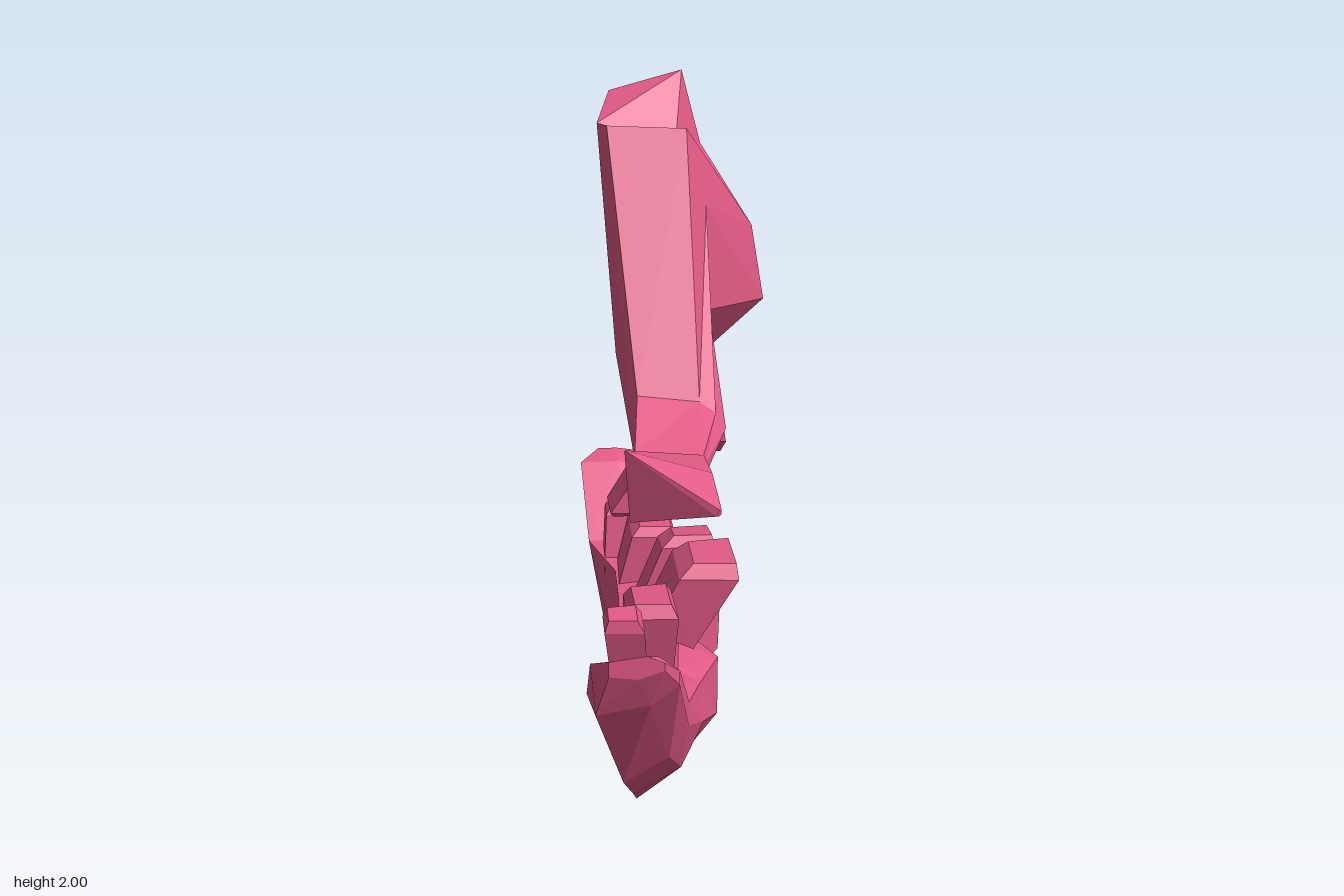
import * as THREE from 'three';

const pink = new THREE.MeshStandardMaterial({ color: 0xe25a85, flatShading: true });

// Skin a list of rings (equal point counts) and close both ends with fans.
function loft(name, rings) {
  const pos = [];
  const n = rings[0].length;
  const tri = (a, b, c) => pos.push(...a, ...b, ...c);
  for (let r = 0; r < rings.length - 1; r++) {
    for (let i = 0; i < n; i++) {
      const j = (i + 1) % n;
      const a = rings[r][i], b = rings[r][j], c = rings[r + 1][j], d = rings[r + 1][i];
      tri(a, b, c);
      tri(a, c, d);
    }
  }
  const first = rings[0], last = rings[rings.length - 1];
  for (let i = 1; i < n - 1; i++) {
    tri(first[0], first[i + 1], first[i]);
    tri(last[0], last[i], last[i + 1]);
  }
  // Turn the faces outward if the signed volume is negative.
  let volume = 0;
  const [A, B, C] = [new THREE.Vector3(), new THREE.Vector3(), new THREE.Vector3()];
  for (let k = 0; k < pos.length; k += 9) {
    volume += A.fromArray(pos, k).dot(B.fromArray(pos, k + 3).cross(C.fromArray(pos, k + 6)));
  }
  if (volume < 0) {
    for (let k = 0; k < pos.length; k += 9) {
      for (let m = 0; m < 3; m++) [pos[k + 3 + m], pos[k + 6 + m]] = [pos[k + 6 + m], pos[k + 3 + m]];
    }
  }
  const geo = new THREE.BufferGeometry();
  geo.setAttribute('position', new THREE.Float32BufferAttribute(pos, 3));
  geo.computeVertexNormals();
  const mesh = new THREE.Mesh(geo, pink);
  mesh.name = name;
  return mesh;
}

// Gum: each section is z, six x values, six y values.
function gum(name, sections) {
  return loft(name, sections.map(([z, xs, ys]) => xs.map((x, i) => [x, ys[i], z])));
}

// Tooth: chamfered block from root to crown; w = widths along z, d = depth along x,
// slope tips the biting edge along z.
function tooth(name, [root, crown, wRoot, wCrown, d, slope]) {
  const a = new THREE.Vector3(...root), b = new THREE.Vector3(...crown);
  const ring = (t, s) => {
    const c = a.clone().lerp(b, t);
    const w = THREE.MathUtils.lerp(wRoot, wCrown, t) * s / 2, h = d * s / 2;
    return [[-h, -w * 0.85], [h, -w], [h, w], [-h, w * 0.85]]
      .map(([x, z]) => [c.x + x, c.y + slope * t * z, c.z + z]);
  };
  return loft(name, [ring(0, 0.9), ring(0.88, 1), ring(1, 0.72)]);
}

// Section points run: inner top, outer top, upper bulge, lower bulge, outer bottom, inner bottom
const upperSections = [
  [0.92, [0.01, 0.015, 0.015, 0.015, 0.01, 0.005], [1.245, 1.245, 1.24, 1.235, 1.23, 1.23]],
  [0.80, [-0.18, 0.01, 0.015, 0.01, 0, -0.17], [1.34, 1.28, 1.24, 1.22, 1.18, 1.17]],
  [0.57, [-0.14, 0.02, 0.025, 0.025, 0.02, -0.13], [1.24, 1.23, 1.21, 1.18, 1.15, 1.14]],
  [0.40, [-0.12, 0.03, 0.07, 0.095, 0.05, -0.12], [1.32, 1.30, 1.27, 1.23, 1.12, 1.11]],
  [0.10, [-0.165, 0.03, 0.08, 0.09, 0.06, -0.15], [1.91, 1.90, 1.71, 1.44, 1.33, 1.33]],
  [-0.06, [-0.18, 0.02, 0.22, 0.255, 0.10, -0.14], [1.89, 1.84, 1.62, 1.42, 1.28, 1.30]],
  [-0.20, [-0.14, 0.05, 0.10, 0.12, 0.08, -0.12], [1.95, 2.00, 1.81, 1.56, 1.40, 1.40]],
  [-0.41, [-0.09, 0.08, 0.14, 0.155, 0.10, -0.09], [1.65, 1.66, 1.55, 1.44, 1.40, 1.41]],
  [-0.56, [-0.09, 0.08, 0.09, 0.09, 0.07, -0.09], [1.62, 1.63, 1.54, 1.50, 1.46, 1.46]],
  [-0.78, [-0.13, 0.06, 0.07, 0.07, 0.05, -0.12], [1.70, 1.69, 1.60, 1.54, 1.48, 1.48]],
  [-0.91, [0.05, 0.06, 0.06, 0.06, 0.055, 0.05], [1.59, 1.59, 1.57, 1.56, 1.55, 1.55]],
];
// The lower gum bulges either side of a notch at z = -0.06.
const lowerSections = [
  [0.77, [-0.22, -0.13, -0.09, -0.09, -0.15, -0.22], [0.81, 0.82, 0.80, 0.78, 0.76, 0.77]],
  [0.72, [-0.26, -0.10, -0.05, -0.05, -0.12, -0.25], [0.78, 0.79, 0.75, 0.71, 0.66, 0.64]],
  [0.48, [-0.26, -0.06, 0, 0, -0.05, -0.17], [0.56, 0.59, 0.52, 0.45, 0.36, 0.29]],
  [0.30, [-0.18, -0.01, 0.05, 0.06, 0, -0.13], [0.47, 0.51, 0.47, 0.35, 0.21, 0.13]],
  [0.13, [-0.14, 0.01, 0.12, 0.12, 0, -0.11], [0.45, 0.50, 0.45, 0.27, 0.11, 0]],
  [-0.06, [-0.14, 0, 0.04, 0.04, 0.02, -0.10], [0.45, 0.47, 0.44, 0.25, 0.14, 0.06]],
  [-0.24, [-0.13, 0.02, 0.175, 0.17, 0.03, -0.11], [0.46, 0.49, 0.44, 0.27, 0.12, 0.05]],
  [-0.38, [-0.13, 0, 0.12, 0.12, 0.03, -0.12], [0.48, 0.50, 0.44, 0.29, 0.20, 0.13]],
  [-0.56, [-0.20, -0.04, 0.05, 0.05, 0, -0.16], [0.50, 0.50, 0.45, 0.37, 0.29, 0.24]],
  [-0.80, [-0.21, -0.09, 0, 0, -0.05, -0.20], [0.67, 0.67, 0.64, 0.61, 0.57, 0.56]],
  [-0.87, [-0.15, -0.09, -0.03, -0.02, -0.06, -0.14], [0.69, 0.69, 0.68, 0.66, 0.65, 0.65]],
];

// Teeth: root, crown, root width, crown width, depth, edge slope
const upperTeeth = [
  [[-0.08, 1.18, 0.48], [-0.15, 1.06, 0.48], 0.16, 0.15, 0.11, 0.1],
  [[-0.01, 1.28, 0.24], [-0.04, 1.03, 0.26], 0.20, 0.26, 0.12, -0.05],
  [[0.04, 1.37, 0.02], [0.08, 1.06, 0.025], 0.13, 0.20, 0.12, -0.15],
  [[0.05, 1.45, -0.32], [0.08, 1.19, -0.355], 0.19, 0.23, 0.10, 0],
  [[-0.02, 1.50, -0.51], [-0.04, 1.25, -0.54], 0.16, 0.13, 0.10, 0],
];
const lowerTeeth = [
  [[-0.14, 0.48, 0.38], [-0.165, 0.76, 0.44], 0.08, 0.10, 0.10, -0.1],
  [[-0.09, 0.45, 0.26], [-0.08, 0.73, 0.285], 0.16, 0.21, 0.13, 0.1],
  [[-0.05, 0.43, 0.05], [0.11, 0.735, 0.05], 0.18, 0.23, 0.16, 0],
  [[-0.04, 0.43, -0.17], [0.08, 0.69, -0.19], 0.14, 0.17, 0.15, 0.2],
  [[-0.07, 0.45, -0.37], [-0.01, 0.645, -0.39], 0.17, 0.19, 0.13, 0],
  [[-0.11, 0.44, -0.49], [-0.09, 0.645, -0.53], 0.11, 0.10, 0.11, 0],
];

export function createModel() {
  const model = new THREE.Group();
  model.name = 'jaws';
  const upper = new THREE.Group(), lower = new THREE.Group();
  upper.name = 'upperJaw';
  lower.name = 'lowerJaw';
  upper.add(gum('upperGum', upperSections));
  lower.add(gum('lowerGum', lowerSections));
  upperTeeth.forEach((t, i) => upper.add(tooth(`upperTooth${i + 1}`, t)));
  lowerTeeth.forEach((t, i) => lower.add(tooth(`lowerTooth${i + 1}`, t)));
  model.add(upper, lower);
  return model;
}
